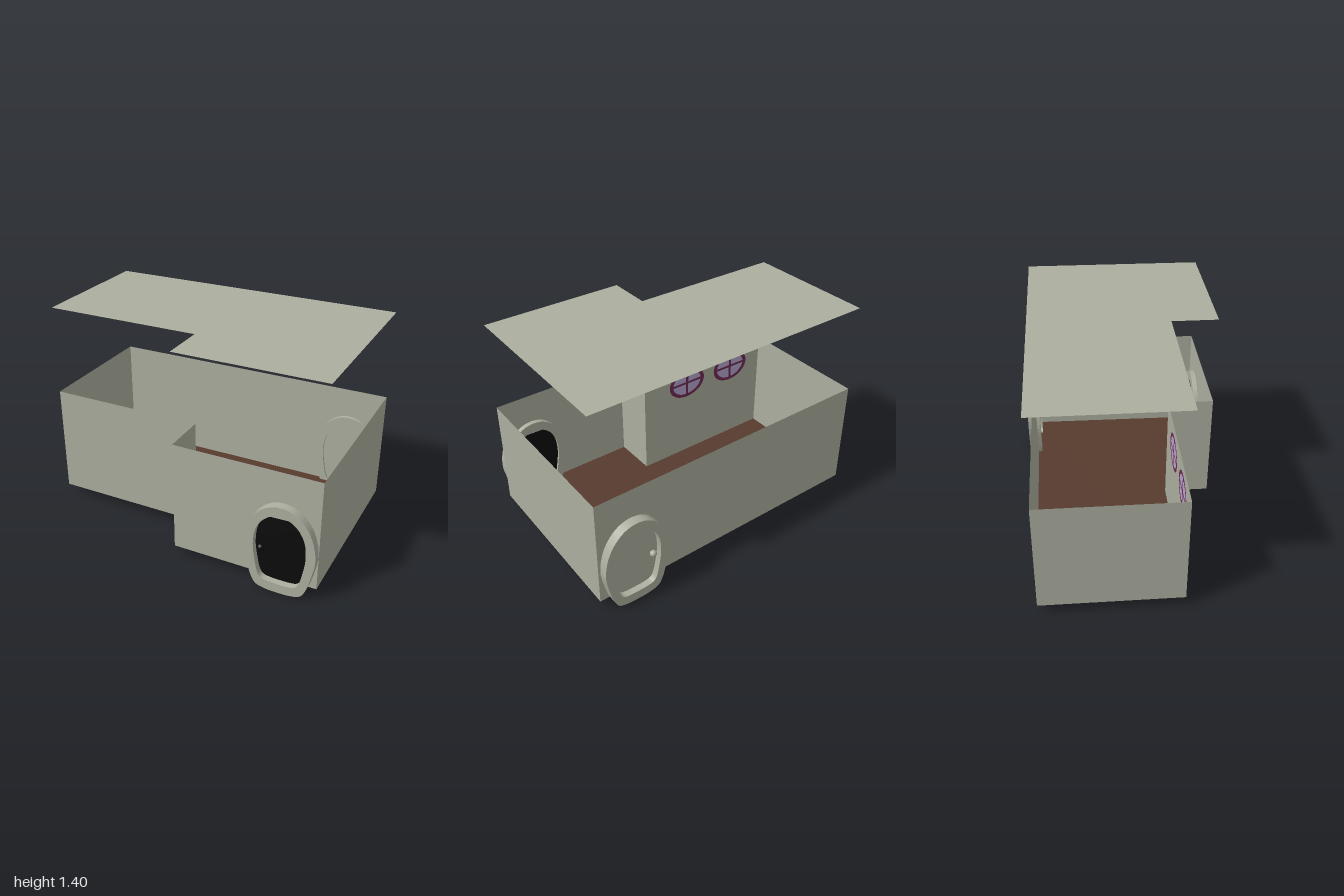
import * as THREE from 'three';

const material = (name, color) =>
  new THREE.MeshStandardMaterial({ name, color, side: THREE.DoubleSide });

const FLOOR_Y = 0.07, WALL_TOP = 0.805, ROOF_Y = 1.4, DOOR_X = 0.76;

// L-shaped plan as [x, z], going round from the back left-hand corner
const PLAN = [[-1, -0.59], [0.998, -0.597], [0.985, 0.603], [0.035, 0.603], [0.035, 0.305], [-1, 0.305]];

// Half outlines of the door frame, from the top centre to the bottom centre
const OUTER = [[0, 0.605], [0.075, 0.589], [0.145, 0.535], [0.198, 0.445], [0.224, 0.31], [0.206, 0.19], [0.172, 0.07], [0.14, 0.023], [0.075, 0.005], [0, 0.002]];
const INNER = [[0, 0.545], [0.06, 0.53], [0.115, 0.485], [0.152, 0.415], [0.165, 0.31], [0.152, 0.2], [0.127, 0.1], [0.105, 0.076], [0.06, 0.067], [0, 0.065]];

// Closed smooth outline mirrored about x = 0
function outline(half) {
  const mirrored = half.slice(1, -1).reverse().map(([x, y]) => [-x, y]);
  const points = [...half, ...mirrored].map(([x, y]) => new THREE.Vector3(x, y, 0));
  const curve = new THREE.CatmullRomCurve3(points, true);
  return curve.getPoints(72).slice(0, -1).map(p => new THREE.Vector2(p.x, p.y));
}

export function createModel() {
  const model = new THREE.Group();
  model.name = 'house';

  const wallMat = material('wall', 0xacae9f);
  const floorMat = material('floor', 0x573a2e);
  const blackMat = material('blackDoor', 0x0c0c0c);
  const trimMat = material('windowTrim', 0x702a52);
  const glassMat = material('windowGlass', 0xb4a4cc);

  function add(parent, name, geometry, mat, x = 0, y = 0, z = 0) {
    const mesh = new THREE.Mesh(geometry, mat);
    mesh.name = name;
    mesh.position.set(x, y, z);
    parent.add(mesh);
    return mesh;
  }

  // Floor and raised roof sheet
  const planShape = new THREE.Shape(PLAN.map(([x, z]) => new THREE.Vector2(x, -z)));
  const slab = new THREE.ShapeGeometry(planShape).rotateX(-Math.PI / 2);
  add(model, 'floor', slab, floorMat, 0, FLOOR_Y, 0);
  add(model, 'roof', slab, wallMat, 0, ROOF_Y, 0);

  // Thin walls along each side of the plan
  const walls = new THREE.Group();
  walls.name = 'walls';
  model.add(walls);
  PLAN.forEach(([x1, z1], i) => {
    const [x2, z2] = PLAN[(i + 1) % PLAN.length];
    const sheet = new THREE.PlaneGeometry(Math.hypot(x2 - x1, z2 - z1), WALL_TOP - FLOOR_Y);
    const wall = add(walls, 'wall', sheet, wallMat, (x1 + x2) / 2, (FLOOR_Y + WALL_TOP) / 2, (z1 + z2) / 2);
    wall.rotation.y = -Math.atan2(z2 - z1, x2 - x1);
  });

  // Egg-shaped doors, front and back
  function door(name, side, panelMat) {
    const group = new THREE.Group();
    group.name = name;
    group.position.x = DOOR_X;
    model.add(group);

    const frame = new THREE.Shape(outline(OUTER));
    frame.holes.push(new THREE.Path(outline(INNER)));
    const frameGeo = new THREE.ExtrudeGeometry(frame, { depth: 0.088, bevelEnabled: false });
    add(group, 'doorFrame', frameGeo, wallMat, 0, 0, side > 0 ? 0.57 : -0.658);

    const panelGeo = new THREE.ExtrudeGeometry(new THREE.Shape(outline(INNER)), { depth: 0.03, bevelEnabled: false });
    add(group, 'doorPanel', panelGeo, panelMat, 0, 0, side * 0.6 - 0.015);

    add(group, 'doorKnob', new THREE.SphereGeometry(0.022, 20, 14), panelMat, -0.125, 0.28, side * 0.633);
  }
  door('frontDoor', 1, blackMat);
  door('backDoor', -1, wallMat);

  // Oval windows on the inner face of the front wall
  for (const x of [-0.72, -0.325]) {
    const win = new THREE.Group();
    win.name = 'window';
    win.position.set(x, 0.66, 0.3);
    win.scale.set(0.152, 0.114, 1);
    model.add(win);
    add(win, 'windowGlass', new THREE.CircleGeometry(0.9, 48), glassMat);
    add(win, 'windowRim', new THREE.RingGeometry(0.8, 1, 48), trimMat, 0, 0, -0.003);
    add(win, 'windowUprightBar', new THREE.PlaneGeometry(0.13, 1.7), trimMat, 0, 0, -0.003);
    add(win, 'windowCrossBar', new THREE.PlaneGeometry(1.7, 0.15), trimMat, 0, 0, -0.004);
  }

  return model;
}
